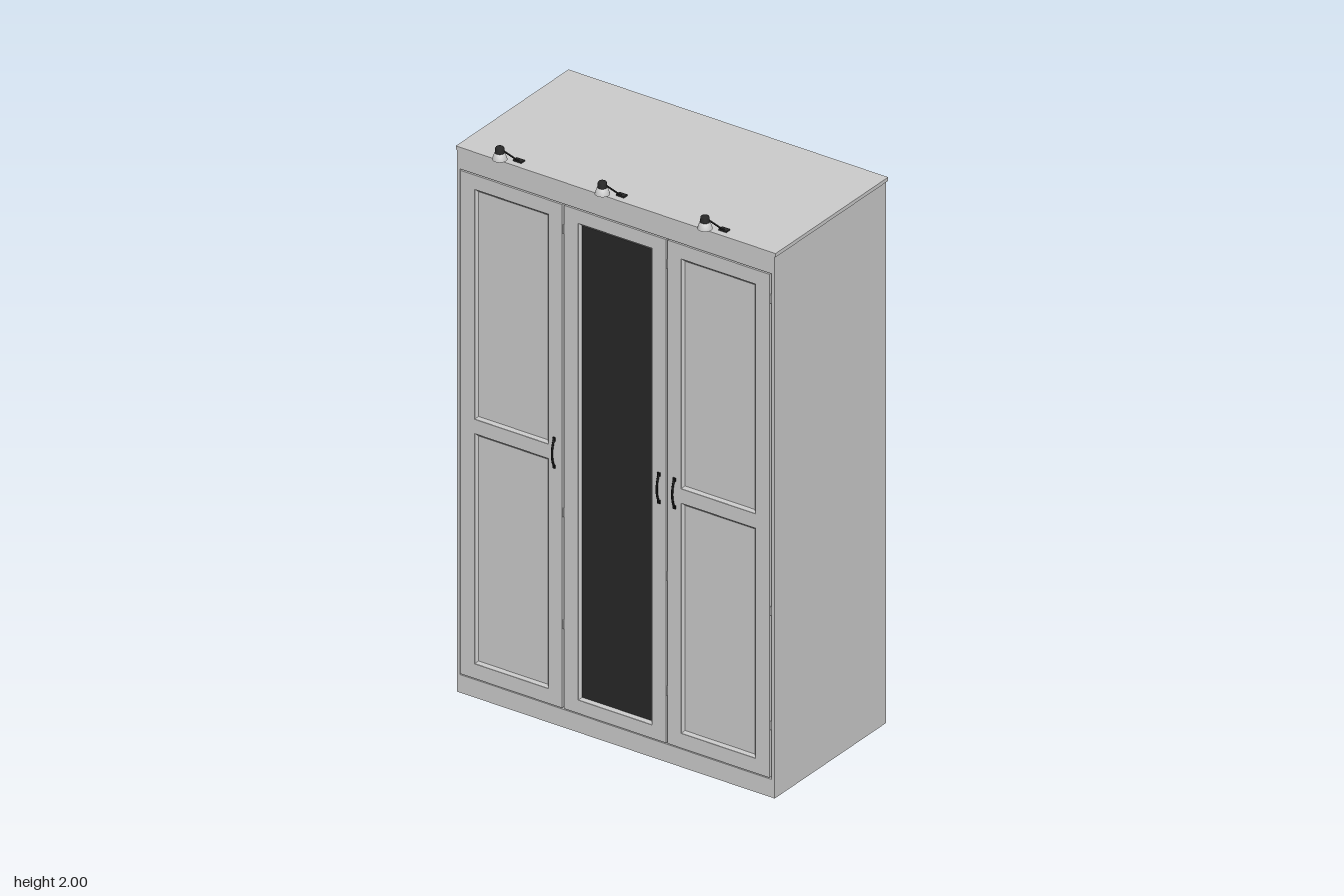
import * as THREE from 'three';

const grey = new THREE.MeshStandardMaterial({ color: 0xcccccc });
const dark = new THREE.MeshStandardMaterial({ color: 0x282828 });
const black = new THREE.MeshStandardMaterial({ color: 0x151515 });

const FRONT = 0.25, BACK = -0.345;

function add(parent, name, geometry, material = grey) {
  const mesh = new THREE.Mesh(geometry, material);
  mesh.name = name;
  parent.add(mesh);
  return mesh;
}

// Box given by its limits on each axis
function block(parent, name, [x0, x1], [y0, y1], [z0, z1], material) {
  const mesh = add(parent, name, new THREE.BoxGeometry(x1 - x0, y1 - y0, z1 - z0), material);
  mesh.position.set((x0 + x1) / 2, (y0 + y1) / 2, (z0 + z1) / 2);
  return mesh;
}

function trace(path, [x0, x1], [y0, y1]) {
  return path.moveTo(x0, y0).lineTo(x1, y0).lineTo(x1, y1).lineTo(x0, y1).closePath();
}

// Sloping rim that runs from the opening inwards to the sunk panel
function slopedRim([x0, x1], [y0, y1], inset, zOuter, zInner) {
  const ring = (d, z) => [[x0 + d, y0 + d, z], [x1 - d, y0 + d, z], [x1 - d, y1 - d, z], [x0 + d, y1 - d, z]];
  const outer = ring(0, zOuter), inner = ring(inset, zInner);
  const points = [];
  for (let i = 0; i < 4; i++) {
    const j = (i + 1) % 4;
    points.push(outer[i], outer[j], inner[j], outer[i], inner[j], inner[i]);
  }
  const geometry = new THREE.BufferGeometry();
  geometry.setAttribute('position', new THREE.Float32BufferAttribute(points.flat(), 3));
  geometry.computeVertexNormals();
  return geometry;
}

// Framed door with sunk panels
function makeDoor(name, xs, panelXs, panelRows, panelName, panelMaterial) {
  const door = new THREE.Group();
  door.name = name;
  const shape = trace(new THREE.Shape(), xs, [0.067, 1.825]);
  for (const ys of panelRows) shape.holes.push(trace(new THREE.Path(), panelXs, ys));
  const frame = add(door, 'doorFrame', new THREE.ExtrudeGeometry(shape, { depth: 0.018, bevelEnabled: false }));
  frame.position.z = FRONT - 0.018;
  for (const ys of panelRows) {
    add(door, 'panelMoulding', slopedRim(panelXs, ys, 0.009, FRONT - 0.002, FRONT - 0.009));
    block(door, panelName, panelXs, ys, [FRONT - 0.016, FRONT - 0.009], panelMaterial);
  }
  return door;
}

// Bowed pull handle with two feet
function makeHandle(x) {
  const handle = new THREE.Group();
  handle.name = 'handle';
  const curve = new THREE.CatmullRomCurve3([
    [0.9, 0], [0.915, 0.007], [0.935, 0.012], [0.95, 0.013], [0.965, 0.012], [0.985, 0.007], [1.0, 0],
  ].map(([y, z]) => new THREE.Vector3(x, y, FRONT + z)));
  add(handle, 'grip', new THREE.TubeGeometry(curve, 32, 0.0035, 8), black);
  for (const y of [0.902, 0.998]) {
    block(handle, 'handleFoot', [x - 0.005, x + 0.005], [y - 0.006, y + 0.006], [FRONT, FRONT + 0.004], black);
  }
  return handle;
}

// Spotlight on a slanting flat arm
function makeLamp(x) {
  const lamp = new THREE.Group();
  lamp.name = 'lamp';
  block(lamp, 'lampBase', [-0.015, 0.015], [1.905, 1.91], [0.209, 0.228], dark);
  const from = new THREE.Vector3(0, 1.908, 0.222), to = new THREE.Vector3(0, 1.987, 0.312);
  const arm = add(lamp, 'lampArm', new THREE.BoxGeometry(0.008, 0.004, from.distanceTo(to)), dark);
  arm.position.copy(from).lerp(to, 0.5);
  arm.lookAt(to);
  const shadeProfile = [[0.02, 1.96], [0.024, 1.958], [0.016, 1.981], [0, 1.981]];
  const capProfile = [[0.016, 1.979], [0.015, 1.983], [0.014, 1.997], [0.012, 2.0], [0, 2.0]];
  const lathe = (p) => new THREE.LatheGeometry(p.map(([r, y]) => new THREE.Vector2(r, y)), 32);
  add(lamp, 'lampShade', lathe(shadeProfile)).position.z = 0.321;
  add(lamp, 'lampCap', lathe(capProfile), dark).position.z = 0.321;
  const bulb = add(lamp, 'lampLens', new THREE.CylinderGeometry(0.021, 0.021, 0.003, 32));
  bulb.position.set(0, 1.962, 0.321);
  lamp.position.x = x;
  return lamp;
}

export function createModel() {
  const wardrobe = new THREE.Group();
  wardrobe.name = 'wardrobe';

  // Carcass
  const carcass = new THREE.Group();
  carcass.name = 'carcass';
  wardrobe.add(carcass);
  block(carcass, 'topBoard', [-0.6, 0.6], [1.892, 1.905], [-0.35, FRONT]);
  for (const s of [-1, 1]) {
    const edges = [s * 0.585, s * 0.596].sort((a, b) => a - b);
    block(carcass, 'sidePanel', edges, [0, 1.892], [BACK, FRONT - 0.001]);
  }
  block(carcass, 'plinth', [-0.585, 0.585], [0, 0.063], [0.23, FRONT - 0.001]);
  block(carcass, 'topRail', [-0.585, 0.585], [1.829, 1.892], [0.23, FRONT - 0.001]);
  block(carcass, 'floorBoard', [-0.585, 0.585], [0.001, 0.05], [BACK + 0.001, 0.23]);

  // Back in two sheets, with the partition showing in the narrow joint
  block(carcass, 'backSheet', [-0.19, 0.585], [0, 1.892], [BACK, BACK + 0.008]);
  block(carcass, 'backSheet', [-0.585, -0.196], [0, 1.892], [BACK, BACK + 0.008]);
  block(carcass, 'backRail', [-0.196, -0.19], [0, 0.05], [BACK, BACK + 0.008]);
  block(carcass, 'partition', [-0.2, -0.186], [0.05, 1.892], [BACK + 0.008, 0.228]);

  // Doors: two panelled ones beside a mirrored one
  const rows = [[0.118, 0.922], [0.972, 1.775]];
  wardrobe.add(
    makeDoor('rightDoor', [-0.583, -0.201], [-0.53, -0.252], rows, 'doorPanel', grey),
    makeDoor('middleDoor', [-0.193, 0.189], [-0.141, 0.137], [[0.113, 1.778]], 'mirror', dark),
    makeDoor('leftDoor', [0.195, 0.577], [0.245, 0.525], rows, 'doorPanel', grey),
  );

  // Hinges in the gaps between the doors
  const hinges = [[-0.197, [0.36, 0.75, 1.74]], [0.192, [0.25, 0.65, 1.74]], [0.581, [0.25, 0.65, 1.74]]];
  for (const [x, heights] of hinges) {
    for (const y of heights) {
      const hinge = add(wardrobe, 'hinge', new THREE.CylinderGeometry(0.003, 0.003, 0.03, 10));
      hinge.position.set(x, y, FRONT - 0.002);
    }
  }

  for (const x of [-0.23, 0.163, 0.221]) wardrobe.add(makeHandle(x));
  for (const x of [-0.385, 0, 0.385]) wardrobe.add(makeLamp(x));
  return wardrobe;
}
